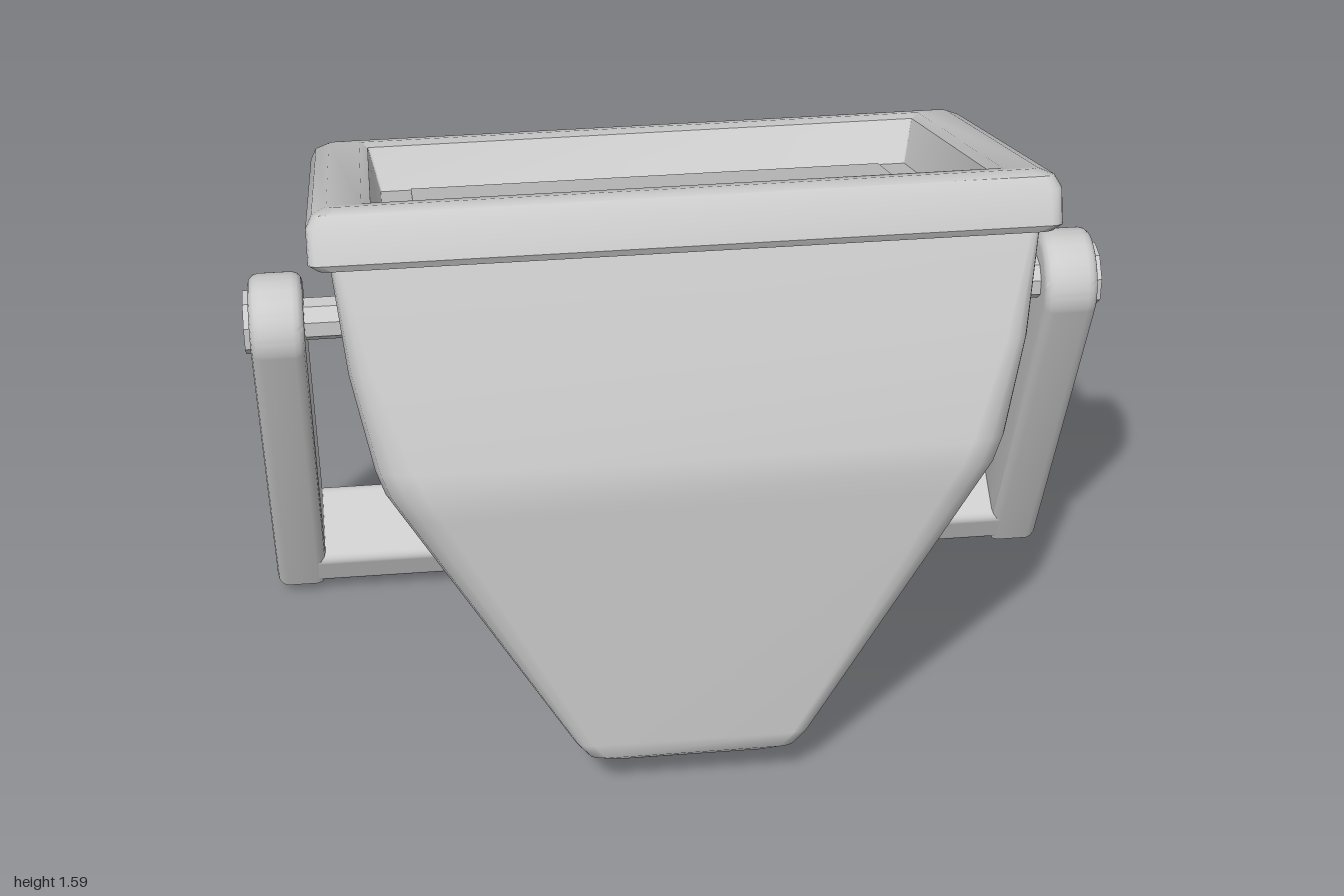
import * as THREE from 'three';
import { toCreasedNormals } from 'three/addons/utils/BufferGeometryUtils.js';
import { RoundedBoxGeometry } from 'three/addons/geometries/RoundedBoxGeometry.js';

const material = new THREE.MeshStandardMaterial({ color: 0xcccccc });

function addMesh(parent, name, geometry, x = 0, y = 0, z = 0) {
  const mesh = new THREE.Mesh(geometry, material);
  mesh.name = name;
  mesh.position.set(x, y, z);
  parent.add(mesh);
  return mesh;
}

// Outline of a rounded rectangle at height y
function roundedSection([y, halfX, halfZ, r], steps = 3) {
  const points = [];
  [[1, 1], [-1, 1], [-1, -1], [1, -1]].forEach(([sx, sz], corner) => {
    for (let i = 0; i <= steps; i++) {
      const a = (corner + i / steps) * Math.PI / 2;
      points.push([sx * (halfX - r) + r * Math.cos(a), y, sz * (halfZ - r) + r * Math.sin(a)]);
    }
  });
  return points;
}

// Skin over a stack of rounded rectangles [y, halfX, halfZ, cornerRadius]
function loft(sections) {
  const rings = sections.map(s => roundedSection(s));
  const n = rings[0].length;
  const index = [];
  for (let i = 0; i < rings.length - 1; i++) {
    for (let j = 0; j < n; j++) {
      const a = i * n + j, b = i * n + (j + 1) % n;
      index.push(a, a + n, b, b, a + n, b + n);
    }
  }
  const geometry = new THREE.BufferGeometry();
  geometry.setAttribute('position', new THREE.Float32BufferAttribute(rings.flat(2), 3));
  geometry.setIndex(index);
  geometry.computeVertexNormals();
  return geometry;
}

// Flat bar with one round end, lying along -y from the pivot, thickness along x
function armGeometry(radius, length, thickness, bevel) {
  const r = radius - bevel;
  const shape = new THREE.Shape();
  shape.moveTo(r, 0);
  shape.absarc(0, 0, r, 0, Math.PI, false);
  shape.lineTo(-r, -length + bevel);
  shape.lineTo(r, -length + bevel);
  shape.closePath();
  const geometry = new THREE.ExtrudeGeometry(shape, {
    depth: thickness - 2 * bevel, bevelSize: bevel, bevelThickness: bevel, bevelSegments: 3, curveSegments: 20,
  });
  geometry.translate(0, 0, -thickness / 2 + bevel);
  geometry.rotateY(Math.PI / 2);
  return toCreasedNormals(geometry, 0.6);
}

export function createModel() {
  const model = new THREE.Group();
  model.name = 'floodlight';

  // Lamp, tilted backwards
  const lamp = new THREE.Group();
  lamp.name = 'lamp';
  lamp.rotation.x = -0.417;
  model.add(lamp);
  const cx = -0.012, cz = 0.4625;

  // Tapered housing
  addMesh(lamp, 'housing', loft([
    [-0.137, 0, 0, 0],
    [-0.135, 0.20, 0.15, 0.04],
    [-0.12, 0.245, 0.185, 0.04],
    [-0.08, 0.275, 0.213, 0.04],
    [0.55, 0.65, 0.515, 0.09],
    [0.61, 0.685, 0.543, 0.09],
    [0.67, 0.705, 0.558, 0.085],
    [0.90, 0.75, 0.583, 0.055],
    [1.15, 0.775, 0.598, 0.02],
  ]), cx, 0, cz);

  // Raised rim with a sloping inner wall
  addMesh(lamp, 'rim', toCreasedNormals(loft([
    [1.14, 0.74, 0.57, 0.02],
    [1.14, 0.802, 0.612, 0.03],
    [1.155, 0.822, 0.627, 0.03],
    [1.235, 0.822, 0.627, 0.03],
    [1.263, 0.808, 0.617, 0.03],
    [1.277, 0.775, 0.59, 0.025],
    [1.277, 0.70, 0.55, 0.01],
    [1.265, 0.68, 0.53, 0.006],
    [1.14, 0.65, 0.50, 0.004],
  ]), 0.7), cx, 0, cz);

  // Recessed face and glass pane
  addMesh(lamp, 'backPlate', new THREE.BoxGeometry(1.34, 0.04, 1.04), cx, 1.137, cz);
  addMesh(lamp, 'glass', new THREE.BoxGeometry(1.16, 0.03, 0.91), cx, 1.152, cz);

  // Mounting yoke, swung about the pivot
  const yoke = new THREE.Group();
  yoke.name = 'yoke';
  yoke.position.set(0, 1.075, 0.09);
  yoke.rotation.x = 0.412;
  model.add(yoke);

  const arm = armGeometry(0.112, 1.085, 0.126, 0.025);
  const pin = new THREE.CylinderGeometry(0.05, 0.05, 0.2, 8).rotateZ(Math.PI / 2);
  const bolt = new THREE.CylinderGeometry(0.075, 0.075, 0.04, 8).rotateZ(Math.PI / 2);
  for (const [side, name] of [[1, 'left'], [-1, 'right']]) {
    addMesh(yoke, name + 'Arm', arm, side * 0.923);
    addMesh(yoke, name + 'Pin', toCreasedNormals(pin, 0.5), side * 0.79);
    addMesh(yoke, name + 'Bolt', toCreasedNormals(bolt, 0.5), side * 0.979);
  }
  addMesh(yoke, 'crossBar', new RoundedBoxGeometry(1.9, 0.12, 0.222, 3, 0.025), 0, -1.025, 0);

  return model;
}
